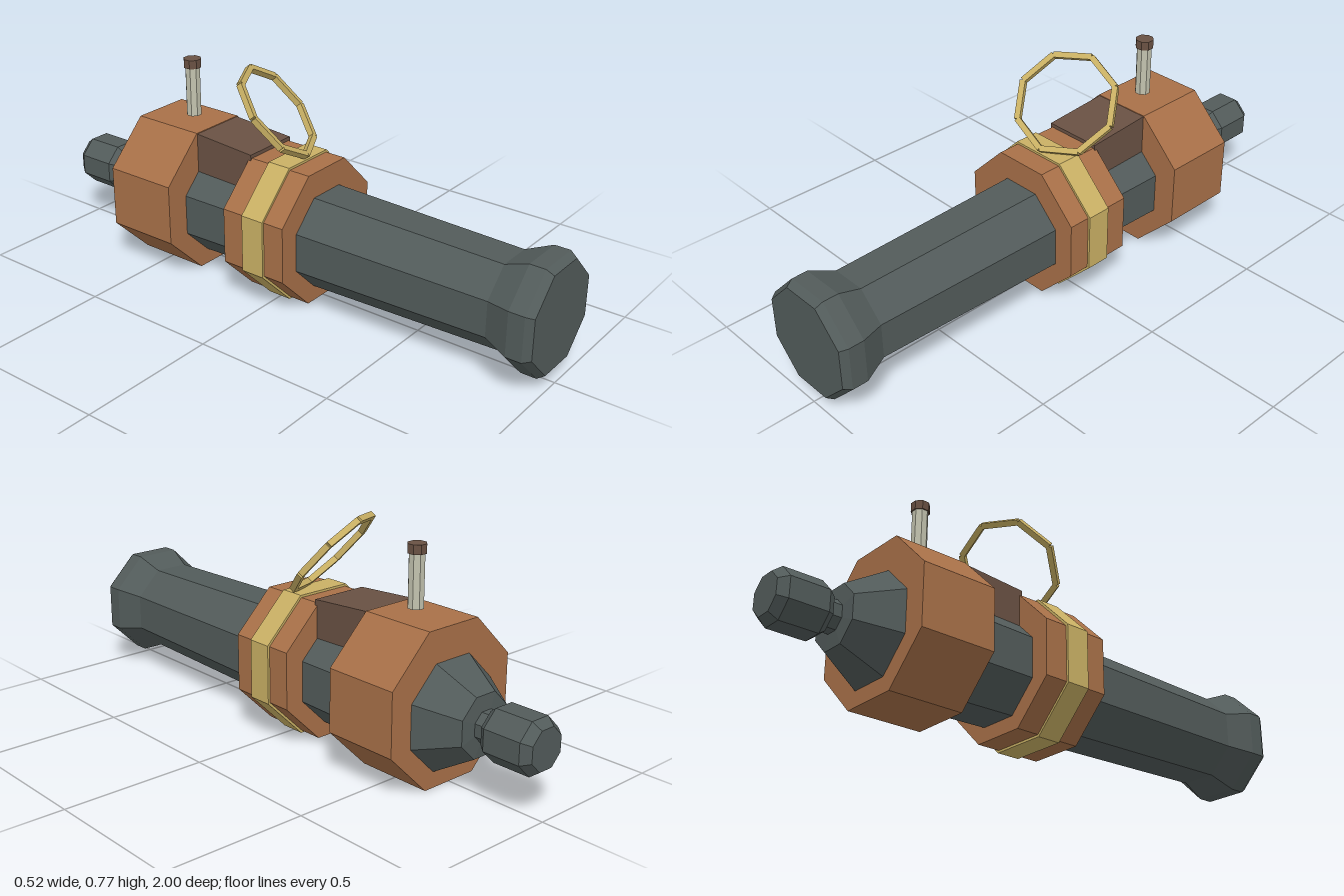
import * as THREE from 'three';

const AXIS = 0.2335; // height of the barrel axis

// Faceted normals for every face
function flat(geometry) {
  const g = geometry.index ? geometry.toNonIndexed() : geometry;
  g.computeVertexNormals();
  return g;
}

function addMesh(parent, name, geometry, material) {
  const mesh = new THREE.Mesh(flat(geometry), material);
  mesh.name = name;
  parent.add(mesh);
  return mesh;
}

const circumradius = (apothem) => apothem / Math.cos(Math.PI / 8);

// Octagonal turned body along z; profile holds [apothem, z] from back to front
function octagonLathe(profile) {
  const points = profile.map(([a, z]) => new THREE.Vector2(circumradius(a), z));
  return new THREE.LatheGeometry(points, 8, Math.PI / 8).rotateX(Math.PI / 2);
}

// Solid octagonal collar along z
function octagonCollar(apothem, zBack, zFront, y) {
  const r = circumradius(apothem);
  return new THREE.CylinderGeometry(r, r, zFront - zBack, 8)
    .rotateY(Math.PI / 8)
    .rotateX(Math.PI / 2)
    .translate(0, y, (zFront + zBack) / 2);
}

export function createModel() {
  const model = new THREE.Group();
  model.name = 'cannon';
  const iron = new THREE.MeshStandardMaterial({ color: 0x525b5a });
  iron.name = 'dark iron';
  const wood = new THREE.MeshStandardMaterial({ color: 0xa87048 });
  wood.name = 'orange wood';
  const darkWood = new THREE.MeshStandardMaterial({ color: 0x695143 });
  darkWood.name = 'dark wood';
  const brass = new THREE.MeshStandardMaterial({ color: 0xc9b064 });
  brass.name = 'brass';
  const silver = new THREE.MeshStandardMaterial({ color: 0xc2c2ae });
  silver.name = 'pale metal';

  // Barrel with flared closed muzzle, tapered breech, neck and rear knob
  const barrel = addMesh(model, 'barrel', octagonLathe([
    [0, -1], [0.065, -1], [0.087, -0.97], [0.087, -0.835], [0.068, -0.81],
    [0.05, -0.81], [0.05, -0.77], [0.1, -0.765], [0.18, -0.625],
    [0.15, 0.83], [0.1875, 0.92], [0.1875, 0.975], [0.171, 1], [0, 1],
  ]), iron);
  barrel.position.y = AXIS;

  // Collars around the barrel
  addMesh(model, 'breechCollar', octagonCollar(0.2585, -0.63, -0.36, 0.2605), wood);
  addMesh(model, 'middleCollar', octagonCollar(0.237, -0.13, 0.12, 0.25), wood);
  addMesh(model, 'brassBand', octagonCollar(0.245, -0.045, 0.042, 0.25), brass);

  // Bridge between the collars, its top rising to the back
  const bridge = new THREE.BoxGeometry(0.21, 0.15, 0.25).translate(0, 0.425, -0.245);
  const p = bridge.attributes.position;
  for (let i = 0; i < p.count; i++) {
    if (p.getY(i) > 0.45 && p.getZ(i) < -0.3) p.setY(i, 0.517);
  }
  addMesh(model, 'topBridge', bridge, darkWood);

  // Firing pin floating above the breech
  const pin = new THREE.Group();
  pin.name = 'firingPin';
  pin.position.z = -0.469;
  model.add(pin);
  const turn = Math.PI / 8;
  addMesh(pin, 'pinShaft',
    new THREE.CylinderGeometry(0.027, 0.027, 0.18, 8).rotateY(turn).translate(0, 0.623, 0), silver);
  addMesh(pin, 'pinCap',
    new THREE.CylinderGeometry(0.032, 0.032, 0.031, 8).rotateY(turn).translate(0, 0.725, 0), darkWood);

  // Leaning ring of eight straight links
  const ring = new THREE.Group();
  ring.name = 'carryRing';
  const up = new THREE.Vector3(0, 0.13, -0.122).normalize();
  const normal = new THREE.Vector3().crossVectors(new THREE.Vector3(0.172, -0.035, -0.038), up).normalize();
  const side = new THREE.Vector3().crossVectors(up, normal);
  ring.quaternion.setFromRotationMatrix(new THREE.Matrix4().makeBasis(side, up, normal));
  ring.position.set(0, 0.633, -0.088);
  model.add(ring);
  const radius = 0.175;
  for (let i = 0; i < 8; i++) {
    const link = addMesh(ring, 'ringLink',
      new THREE.BoxGeometry(0.02, 2 * radius * Math.sin(turn), 0.021), brass);
    const angle = (i + 0.5) * Math.PI / 4;
    const mid = radius * Math.cos(turn);
    link.position.set(mid * Math.cos(angle), mid * Math.sin(angle), 0);
    link.rotation.z = angle;
  }
  return model;
}
